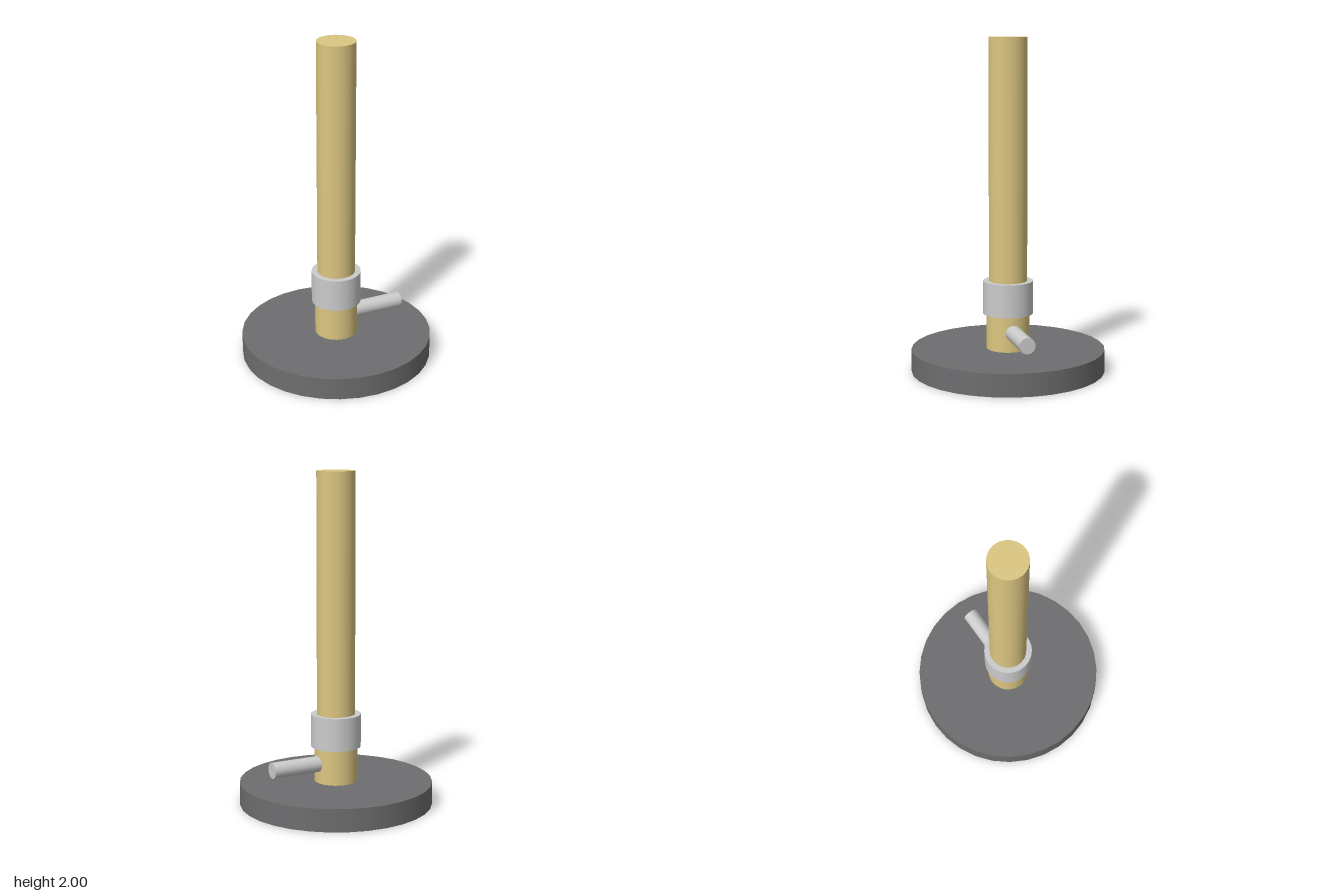
import * as THREE from 'three';

const brass = new THREE.MeshStandardMaterial({ color: 0xdcc681 });
const iron = new THREE.MeshStandardMaterial({ color: 0x6e6e70 });
const steel = new THREE.MeshStandardMaterial({ color: 0xcccccc });

// Upright cylinder spanning y0..y1
function column(name, radius, y0, y1, material) {
  const mesh = new THREE.Mesh(new THREE.CylinderGeometry(radius, radius, y1 - y0, 32), material);
  mesh.name = name;
  mesh.position.y = (y0 + y1) / 2;
  return mesh;
}

export function createModel() {
  const burner = new THREE.Group();
  burner.name = 'gasBurner';

  // Heavy foot, lower barrel, air collar and chimney tube, stacked on one axis
  burner.add(
    column('base', 0.583, 0, 0.137, iron),
    column('lowerBarrel', 0.13, 0.137, 0.35, brass),
    column('airCollar', 0.15, 0.35, 0.55, steel),
    column('burnerTube', 0.115, 0.55, 2, brass)
  );

  // Gas inlet running sideways out of the lower barrel
  const x0 = 0.08, x1 = 0.432;
  const inlet = new THREE.Mesh(new THREE.CylinderGeometry(0.048, 0.048, x1 - x0, 24), steel);
  inlet.name = 'gasInlet';
  inlet.rotation.z = -Math.PI / 2;
  inlet.position.set((x0 + x1) / 2, 0.253, 0);
  burner.add(inlet);

  return burner;
}
